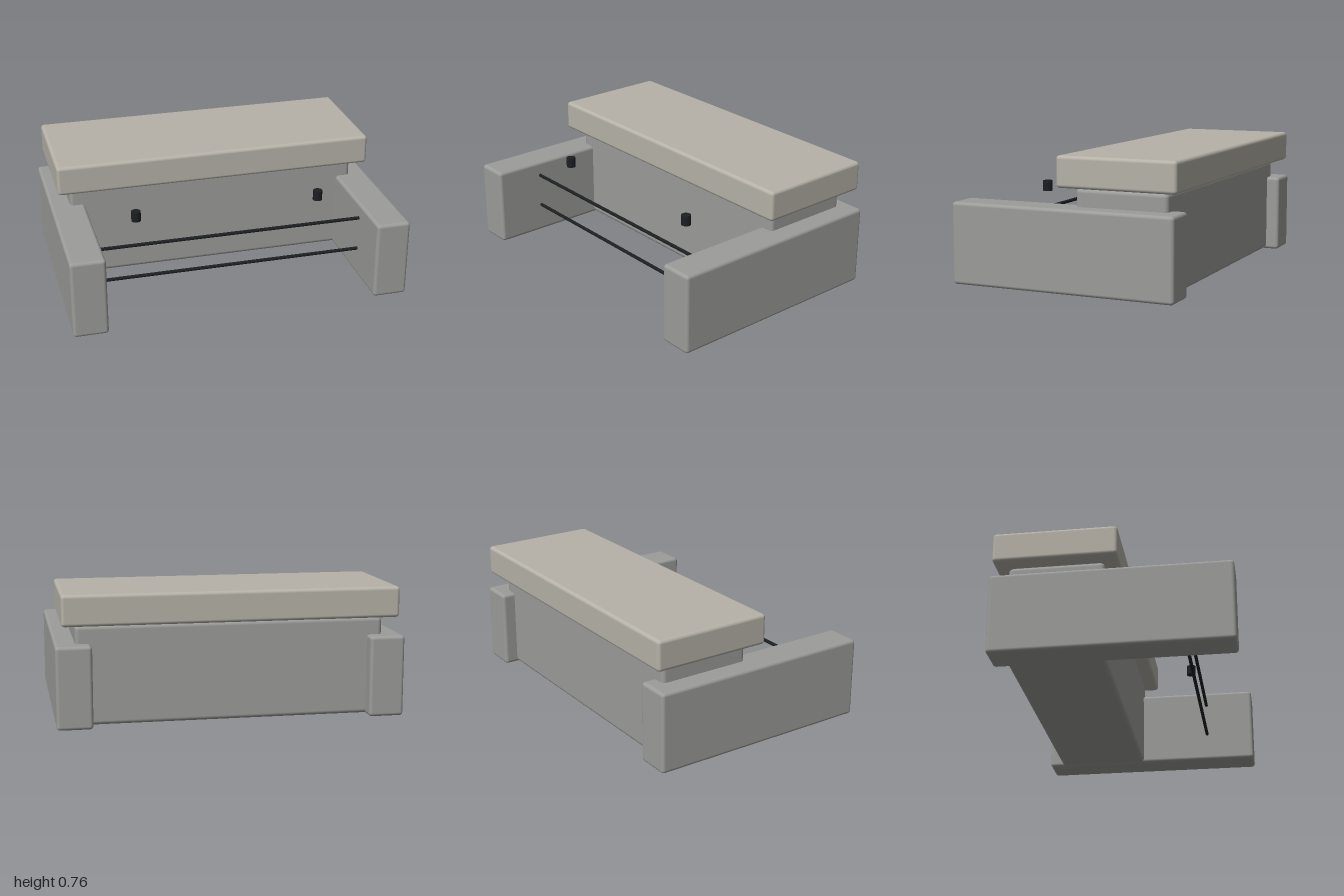
import * as THREE from 'three';
import { RoundedBoxGeometry } from 'three/addons/geometries/RoundedBoxGeometry.js';

const stone = new THREE.MeshStandardMaterial({ color: 0x9c9c9a });
const slab = new THREE.MeshStandardMaterial({ color: 0xb6b2a8 });
const dark = new THREE.MeshStandardMaterial({ color: 0x1c1f22 });

// Softly rounded block given by its min and max corners
function block(name, material, [x0, y0, z0], [x1, y1, z1], radius = 0.02) {
  const geometry = new RoundedBoxGeometry(x1 - x0, y1 - y0, z1 - z0, 3, radius);
  const mesh = new THREE.Mesh(geometry, material);
  mesh.name = name;
  mesh.position.set((x0 + x1) / 2, (y0 + y1) / 2, (z0 + z1) / 2);
  return mesh;
}

function cylinder(name, radius, length, x, y, z) {
  const mesh = new THREE.Mesh(new THREE.CylinderGeometry(radius, radius, length, 24), dark);
  mesh.name = name;
  mesh.position.set(x, y, z);
  return mesh;
}

export function createModel() {
  const model = new THREE.Group();
  model.name = 'counter';

  // Main body, the thin joint above it and the overhanging top
  model.add(block('body', stone, [-0.885, 0.005, -0.595], [0.885, 0.574, -0.048], 0.025));
  model.add(block('topJoint', stone, [-0.86, 0.54, -0.575], [0.86, 0.6, -0.07], 0.005));
  model.add(block('counterTop', slab, [-0.963, 0.58, -0.675], [0.963, 0.758, 0.033]));

  // Side walls and the small floating pegs, mirrored
  for (const [side, s] of [['left', 1], ['right', -1]]) {
    const x = s * 0.898;
    model.add(block(side + 'Wall', stone, [x - 0.102, 0, -0.675], [x + 0.102, 0.472, 0.675]));
    model.add(cylinder(side + 'Peg', 0.028, 0.06, s * 0.553, 0.532, 0.3));
  }

  // Rails spanning between the walls
  for (const [name, y] of [['upperRail', 0.382], ['lowerRail', 0.176]]) {
    const rail = cylinder(name, 0.01, 1.62, 0, y, 0.375);
    rail.rotation.z = Math.PI / 2;
    model.add(rail);
  }
  return model;
}
